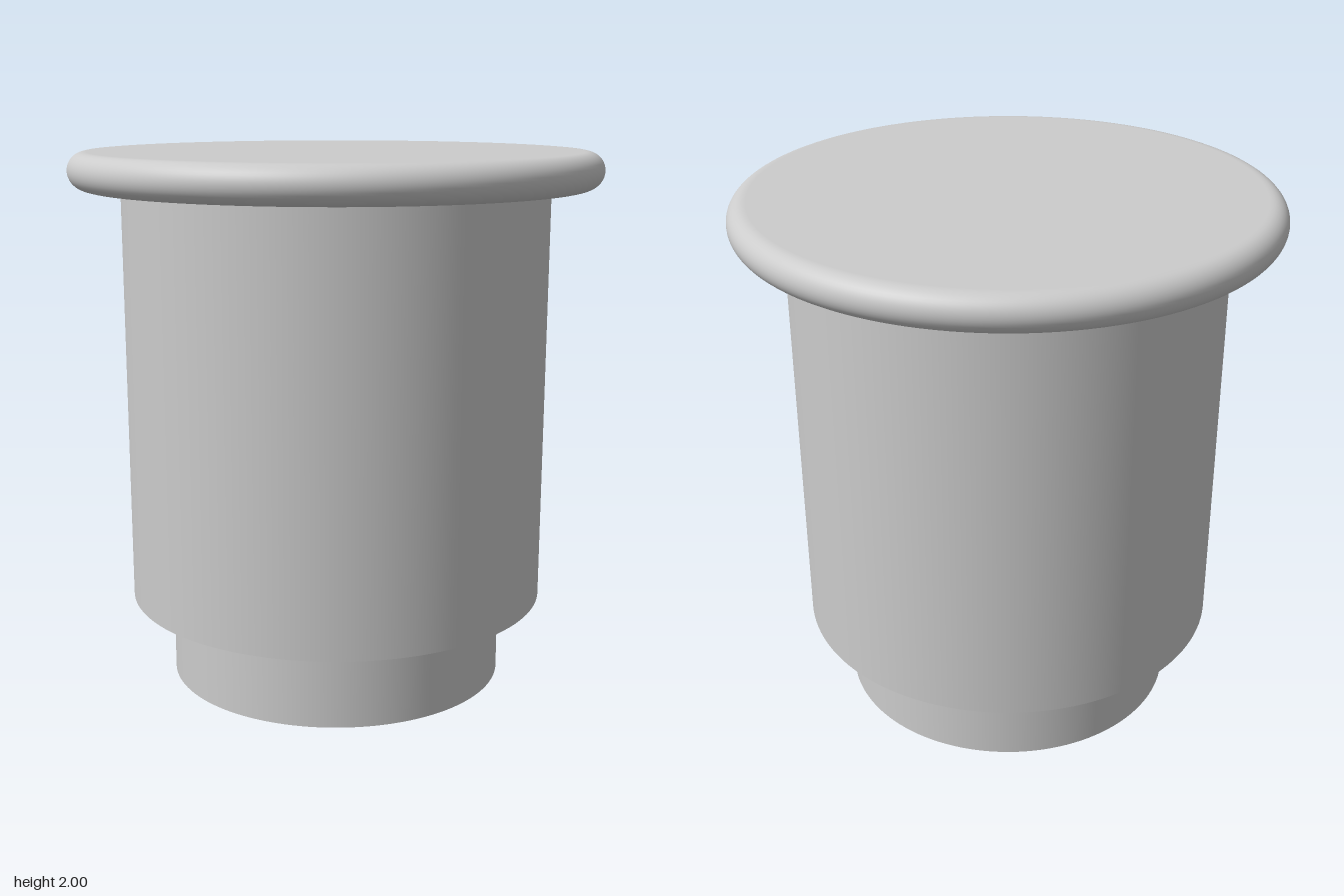
import * as THREE from 'three';

const SEGMENTS = 128;

export function createModel() {
  const model = new THREE.Group();
  const material = new THREE.MeshStandardMaterial({ color: 0xcccccc });

  const addMesh = (name, geometry) => {
    const mesh = new THREE.Mesh(geometry, material);
    mesh.name = name;
    model.add(mesh);
    return mesh;
  };
  const addCylinder = (name, radius, bottom, top, segments = SEGMENTS) => {
    const mesh = addMesh(name, new THREE.CylinderGeometry(radius, radius, top - bottom, segments));
    mesh.position.y = (bottom + top) / 2;
    return mesh;
  };

  // Lid: a flat disc with a fully rounded rim
  const rim = 0.065;
  const flat = 0.953 - rim;
  const bottom = 2 - 2 * rim;
  const profile = [new THREE.Vector2(0, bottom), new THREE.Vector2(flat - 0.005, bottom)];
  for (let i = 0; i <= 20; i++) {
    const a = -Math.PI / 2 + (Math.PI * i) / 20;
    profile.push(new THREE.Vector2(flat + rim * Math.cos(a), 2 - rim + rim * Math.sin(a)));
  }
  profile.push(new THREE.Vector2(flat - 0.005, 2), new THREE.Vector2(0, 2));
  addMesh('lid', new THREE.LatheGeometry(profile, SEGMENTS));

  // Main drum and the narrower base under it
  addCylinder('body', 0.77, 0.36, bottom + 0.01);
  addCylinder('base', 0.62, 0.05, 0.37);

  // Four small round feet, evenly spaced on a circle
  const start = Math.atan2(0.16, 0.457);
  for (let i = 0; i < 4; i++) {
    const a = start + (i * Math.PI) / 2;
    const foot = addCylinder('foot', 0.044, 0, 0.06, 32);
    foot.position.x = 0.484 * Math.cos(a);
    foot.position.z = 0.484 * Math.sin(a);
  }

  return model;
}
